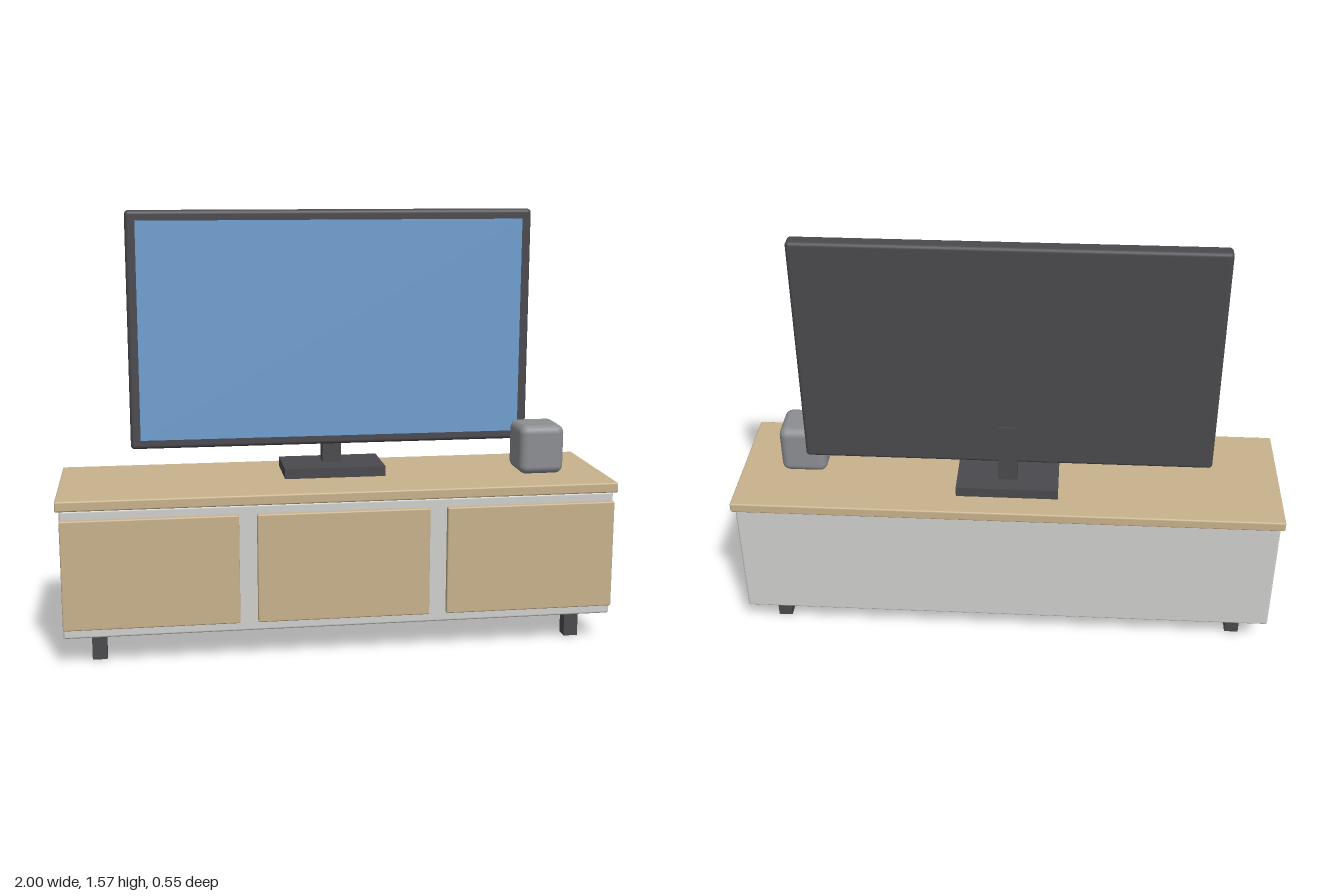
import * as THREE from 'three';
import { RoundedBoxGeometry } from 'three/addons/geometries/RoundedBoxGeometry.js';

function material(name, color) {
  const m = new THREE.MeshStandardMaterial({ color });
  m.name = name;
  return m;
}

export function createModel() {
  const wood = material('light wood', 0xc8b28c);
  const paint = material('pale grey paint', 0xd0d0ce);
  const dark = material('charcoal', 0x4a4a4e);
  const screenBlue = material('screen blue', 0x6f9fd0);
  const speakerGrey = material('speaker grey', 0x8c8e92);

  const model = new THREE.Group();
  model.name = 'televisionOnCabinet';

  // Box given by its [min, max] range on each axis, with optional rounded edges
  function box(parent, name, mat, x, y, z, radius = 0, segments = 3) {
    const size = [x, y, z].map(([a, b]) => b - a);
    const geometry = radius
      ? new RoundedBoxGeometry(...size, segments, radius)
      : new THREE.BoxGeometry(...size);
    const mesh = new THREE.Mesh(geometry, mat);
    mesh.name = name;
    mesh.position.set(...[x, y, z].map(([a, b]) => (a + b) / 2));
    parent.add(mesh);
    return mesh;
  }

  function group(name) {
    const g = new THREE.Group();
    g.name = name;
    model.add(g);
    return g;
  }

  // Cabinet: body, overhanging top, three doors and four legs
  const cabinet = group('cabinet');
  box(cabinet, 'cabinetBody', paint, [-0.987, 0.987], [0.105, 0.565], [-0.257, 0.254], 0.008);
  box(cabinet, 'cabinetTop', wood, [-1, 1], [0.565, 0.602], [-0.272, 0.268], 0.006);
  for (const x of [-0.679, 0, 0.679]) {
    box(cabinet, 'door', wood, [x - 0.308, x + 0.308], [0.14, 0.533], [0.25, 0.273], 0.005);
  }
  for (const x of [-0.867, 0.867]) {
    for (const z of [-0.161, 0.161]) {
      box(cabinet, z > 0 ? 'frontLeg' : 'backLeg', dark,
        [x - 0.026, x + 0.026], [0, 0.11], [z - 0.025, z + 0.025]);
    }
  }

  // Television: casing, thin screen panel, neck and base
  const television = group('television');
  box(television, 'casing', dark, [-0.74, 0.74], [0.709, 1.57], [-0.106, -0.046], 0.014);
  box(television, 'screen', screenBlue, [-0.704, 0.704], [0.743, 1.534], [-0.047, -0.038]);
  box(television, 'standNeck', dark, [-0.035, 0.035], [0.635, 0.865], [-0.114, -0.056]);
  box(television, 'standBase', dark, [-0.186, 0.186], [0.601, 0.639], [-0.176, 0.044]);

  // Small rounded speaker at the model's left
  box(model, 'speaker', speakerGrey, [0.679, 0.848], [0.602, 0.785], [-0.063, 0.105], 0.03, 4);

  return model;
}
